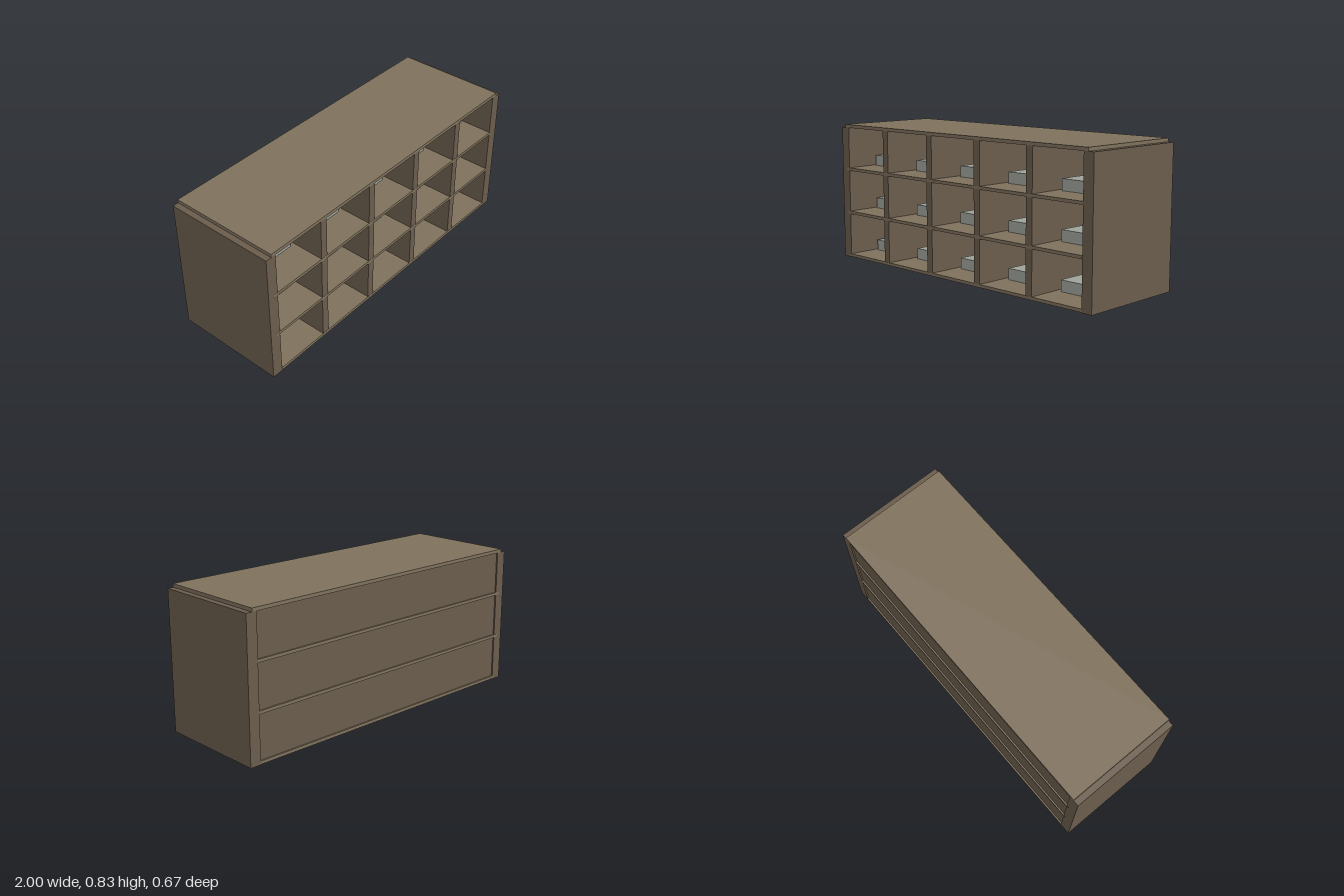
import * as THREE from 'three';

const sideWood = new THREE.MeshStandardMaterial({ color: 0x6a5c4c });
const shelfWood = new THREE.MeshStandardMaterial({ color: 0x7e705c });
const boxGrey = new THREE.MeshStandardMaterial({ color: 0x9ea29b });

// Box given by its minimum and maximum on each axis
function slab(name, material, [x0, x1], [y0, y1], [z0, z1]) {
  const mesh = new THREE.Mesh(new THREE.BoxGeometry(x1 - x0, y1 - y0, z1 - z0), material);
  mesh.position.set((x0 + x1) / 2, (y0 + y1) / 2, (z0 + z1) / 2);
  mesh.name = name;
  return mesh;
}

export function createModel() {
  const model = new THREE.Group();
  model.name = 'cubbyShelf';
  const columns = 5;
  const pitch = 0.3865;
  const depth = [-0.333, 0.333];
  const inset = [-0.332, 0.332];

  // Carcass: two sides, recessed back and overhanging top
  model.add(slab('leftSide', sideWood, [0.935, 1], [0, 0.813], inset));
  model.add(slab('rightSide', sideWood, [-1, -0.935], [0, 0.813], inset));
  model.add(slab('backPanel', sideWood, [-0.936, 0.936], [0.004, 0.814], [-0.324, -0.31]));
  model.add(slab('topPanel', shelfWood, [-0.965, 0.965], [0.813, 0.833], depth));

  // Bottom board and two shelves
  const shelfTops = [0.021, 0.293, 0.565];
  shelfTops.forEach((top, row) => {
    const left = row === 0 ? -0.935 : -0.962;
    model.add(slab(row === 0 ? 'bottomPanel' : 'shelf', shelfWood, [left, 0.935], [top - 0.018, top], depth));
  });

  // Upright dividers between the columns
  for (let i = 0; i < columns - 1; i++) {
    const x = (i - (columns - 2) / 2) * pitch - 0.004;
    model.add(slab('divider', sideWood, [x - 0.022, x + 0.022], [0.004, 0.814], [-0.31, 0.332]));
  }

  // One low storage box in every compartment
  for (const y of shelfTops) {
    for (let i = 0; i < columns; i++) {
      const x = (i - (columns - 1) / 2) * pitch - 0.002;
      model.add(slab('storageBox', boxGrey, [x - 0.139, x + 0.139], [y, y + 0.065], [-0.139, 0.139]));
    }
  }
  return model;
}
